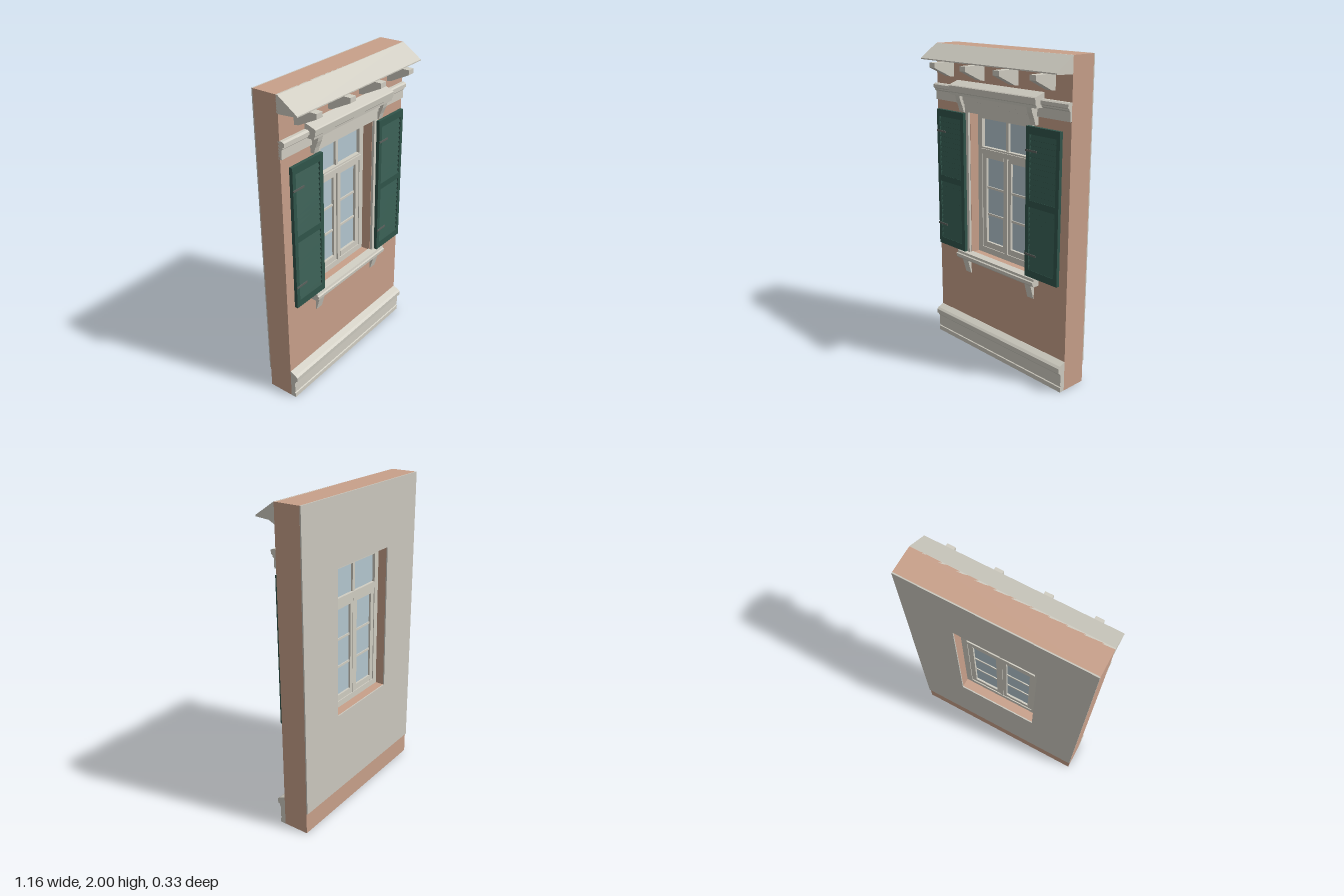
import * as THREE from 'three';

const mat = (name, color) => {
  const m = new THREE.MeshStandardMaterial({ color });
  m.name = name;
  return m;
};

export function createModel() {
  const terracotta = mat('terracotta plaster', 0xc8a08a);
  const stone = mat('cream stone', 0xd0cdc2);
  const plaster = mat('pale inner plaster', 0xcbc8be);
  const green = mat('shutter green', 0x30544a);
  const glass = mat('window glass', 0xb3c6cf);
  const iron = mat('iron grey', 0x5a605c);

  const model = new THREE.Group();
  model.name = 'windowFacade';

  const add = (parent, name, geometry, material) => {
    const mesh = new THREE.Mesh(geometry, material);
    mesh.name = name;
    parent.add(mesh);
    return mesh;
  };
  // Box given by its limits on each axis
  const box = (parent, name, material, x0, x1, y0, y1, z0, z1) => {
    const mesh = add(parent, name, new THREE.BoxGeometry(x1 - x0, y1 - y0, z1 - z0), material);
    mesh.position.set((x0 + x1) / 2, (y0 + y1) / 2, (z0 + z1) / 2);
    return mesh;
  };
  // Side profile of [z, y] points swept along x
  const moulding = (parent, name, material, points, width, cx = 0) => {
    const shape = new THREE.Shape(points.map(([z, y]) => new THREE.Vector2(z, y)));
    const geometry = new THREE.ExtrudeGeometry(shape, { depth: width, bevelEnabled: false });
    geometry.rotateY(-Math.PI / 2).translate(cx + width / 2, 0, 0);
    return add(parent, name, geometry, material);
  };
  const group = (name) => {
    const g = new THREE.Group();
    g.name = name;
    model.add(g);
    return g;
  };

  // Wall and thin inner plaster, both pierced by the window opening
  const W = 0.58;
  const slab = (name, material, y0, z0, z1) => {
    const rect = (C, x, a, b) => new C([[-x, a], [x, a], [x, b], [-x, b]].map((p) => new THREE.Vector2(...p)));
    const shape = rect(THREE.Shape, W, y0, 2);
    shape.holes.push(rect(THREE.Path, 0.26, 0.665, 1.595));
    const geometry = new THREE.ExtrudeGeometry(shape, { depth: z1 - z0, bevelEnabled: false });
    add(model, name, geometry.translate(0, 0, z0), material);
  };
  slab('wall', terracotta, 0, -0.156, 0.01);
  slab('innerPlaster', plaster, 0.14, -0.164, -0.156);

  // Full-width mouldings
  moulding(model, 'basePlinth', stone, [
    [0, 0], [0.045, 0], [0.045, 0.03], [0.038, 0.033], [0.038, 0.04], [0.043, 0.043], [0.043, 0.113],
    [0.05, 0.122], [0.05, 0.13], [0.062, 0.135], [0.064, 0.165], [0.05, 0.176], [0.012, 0.193], [0, 0.193],
  ], 2 * W);
  moulding(model, 'stringCourse', stone, [
    [0, 1.645], [0.022, 1.645], [0.022, 1.7], [0.032, 1.708], [0.032, 1.716], [0.042, 1.722],
    [0.042, 1.742], [0.03, 1.75], [0, 1.75],
  ], 2 * W);
  moulding(model, 'cornice', stone, [[0, 1.898], [0.012, 1.898], [0.138, 1.907], [0.138, 1.914], [0.011, 2], [0, 2]], 2 * W);
  for (const x of [-0.435, -0.147, 0.143, 0.432])
    moulding(model, 'corniceBracket', stone, [
      [0, 1.8], [0.04, 1.805], [0.164, 1.866], [0.164, 1.896], [0, 1.896],
    ], 0.05, x);

  // Stone surround with hood and sill
  const surround = group('windowSurround');
  for (const s of [-1, 1]) {
    const a = s < 0 ? -0.3 : 0.262;
    box(surround, 'casingSide', stone, a, a + 0.038, 0.67, 1.6, 0, 0.026);
    moulding(surround, 'hoodBracket', stone, [
      [0, 1.595], [0.035, 1.595], [0.045, 1.63], [0.062, 1.67], [0.072, 1.71], [0, 1.71],
    ], 0.04, s * 0.312);
    moulding(surround, 'sillBracket', stone, [[0, 0.52], [0.014, 0.52], [0.043, 0.62], [0, 0.62]], 0.052, s * 0.289);
  }
  moulding(surround, 'casingHead', stone, [
    [0, 1.596], [0.026, 1.596], [0.026, 1.645], [0.034, 1.647], [0.034, 1.668], [0.042, 1.67],
    [0.042, 1.705], [0, 1.705],
  ], 0.592);
  moulding(surround, 'hood', stone, [
    [0, 1.7], [0.072, 1.7], [0.074, 1.715], [0.08, 1.72], [0.085, 1.758], [0.078, 1.763], [0.012, 1.785], [0, 1.785],
  ], 0.75);
  moulding(surround, 'sill', stone, [
    [0, 0.618], [0.05, 0.618], [0.062, 0.63], [0.064, 0.65], [0.055, 0.654], [0.052, 0.668], [0, 0.672],
  ], 0.705);

  // Window joinery set back in the opening
  const win = group('window');
  for (const s of [-1, 1]) {
    const side = (name, a, b, y0, y1, z0, z1, m = stone) =>
      box(win, name, m, Math.min(s * a, s * b), Math.max(s * a, s * b), y0, y1, z0, z1);
    side('frameSide', 0.222, 0.26, 0.665, 1.595, -0.1, -0.055);
    side('casementOuterStile', 0.189, 0.222, 0.705, 1.335, -0.095, -0.06);
    side('casementInnerStile', 0.002, 0.034, 0.705, 1.335, -0.095, -0.062);
    for (const [y0, y1] of [[0.705, 0.743], [1.305, 1.335]])
      side('casementRail', 0.034, 0.189, y0, y1, -0.094, -0.061);
    for (const y of [0.93, 1.11])
      side('glazingBar', 0.034, 0.189, y - 0.007, y + 0.007, -0.088, -0.07);
  }
  box(win, 'frameHead', stone, -0.222, 0.222, 1.555, 1.595, -0.1, -0.055);
  box(win, 'frameBottom', stone, -0.222, 0.222, 0.665, 0.705, -0.1, -0.055);
  box(win, 'transom', stone, -0.222, 0.222, 1.335, 1.366, -0.1, -0.042);
  box(win, 'transomCap', stone, -0.218, 0.218, 1.366, 1.376, -0.1, -0.05);
  box(win, 'topMullion', stone, -0.011, 0.011, 1.376, 1.555, -0.094, -0.062);
  box(win, 'meetingPost', stone, -0.01, 0.01, 0.705, 1.335, -0.098, -0.052);
  box(win, 'pane', glass, -0.222, 0.222, 0.7, 1.56, -0.082, -0.078);

  // Louvred shutters, folded open against the wall
  const [y0, y1, z0, z1] = [0.676, 1.59, 0.032, 0.054];
  for (const s of [-1, 1]) {
    const shutter = group(s > 0 ? 'leftShutter' : 'rightShutter');
    const part = (name, a, b, c, d) =>
      box(shutter, name, green, Math.min(s * a, s * b), Math.max(s * a, s * b), c, d, z0, z1);
    part('outerStile', 0.512, 0.538, y0, y1);
    part('innerStile', 0.277, 0.306, y0, y1);
    const rails = [[y0, y0 + 0.045], [1.115, 1.155], [y1 - 0.045, y1]];
    for (const [a, b] of rails) part('rail', 0.306, 0.512, a, b);
    for (let i = 0; i < 2; i++) {
      const low = rails[i][1];
      const step = (rails[i + 1][0] - low) / 12;
      for (let k = 0; k < 12; k++) {
        const slat = add(shutter, 'louvre', new THREE.BoxGeometry(0.206, 0.037, 0.005), green);
        slat.position.set(s * 0.409, low + (k + 0.5) * step, 0.043);
        slat.rotation.x = -0.45;
      }
    }
    // Iron straps at the same end of both shutters
    const x = s > 0 ? 0.277 : -0.538;
    for (const y of [0.82, 1.45]) box(shutter, 'hingeStrap', iron, x, x + 0.09, y - 0.006, y + 0.006, z1, z1 + 0.005);
  }
  return model;
}
